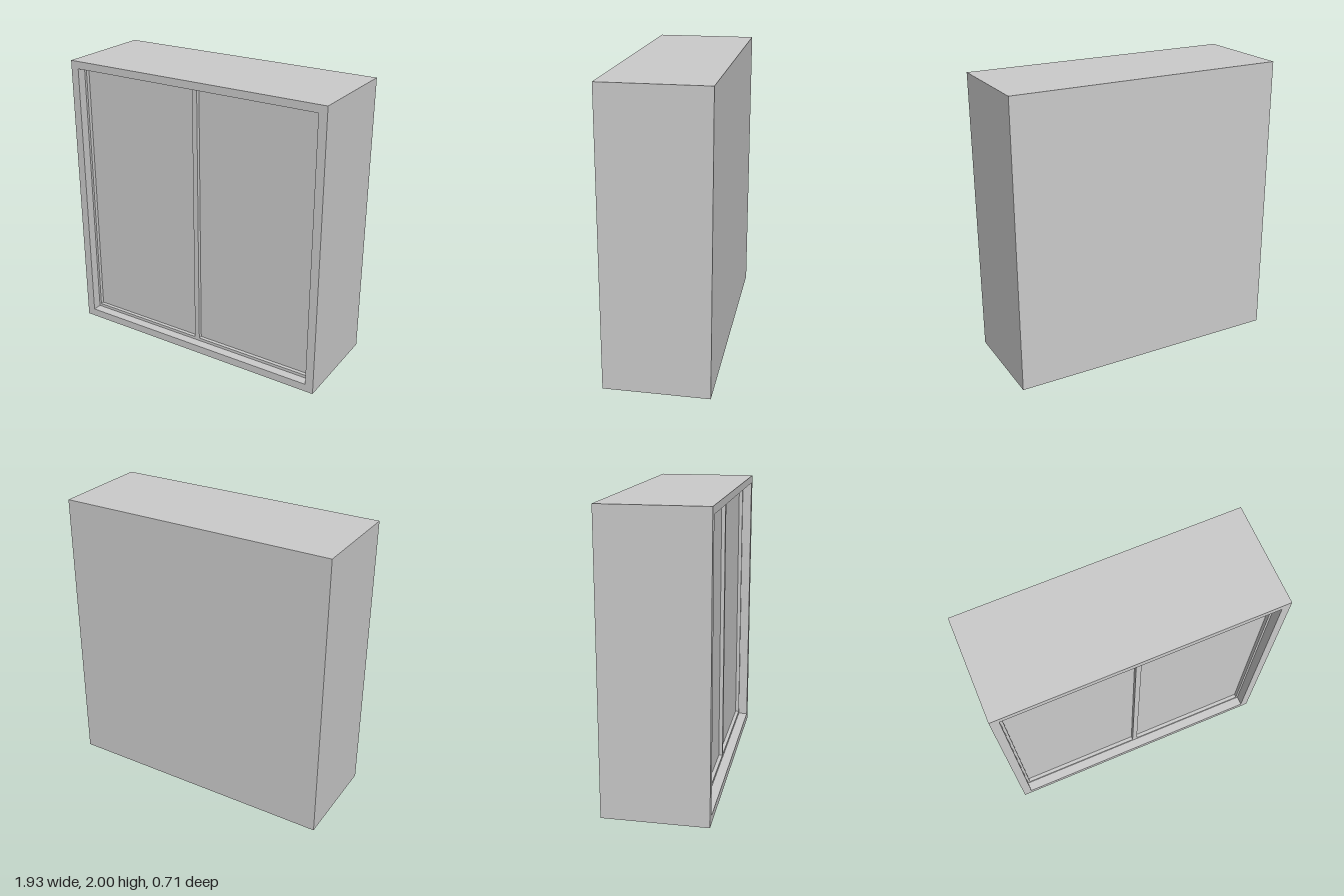
import * as THREE from 'three';

const material = new THREE.MeshStandardMaterial({ color: 0xcccccc });

// Rectangle outline given by its edges
function rect(Type, x0, x1, y0, y1) {
  const p = new Type();
  p.moveTo(x0, y0);
  p.lineTo(x1, y0);
  p.lineTo(x1, y1);
  p.lineTo(x0, y1);
  p.closePath();
  return p;
}

// Extruded rectangle with rectangular openings, spanning z0 to z1
function board(name, outer, holes, z0, z1) {
  const shape = rect(THREE.Shape, ...outer);
  for (const h of holes) shape.holes.push(rect(THREE.Path, ...h));
  const geometry = new THREE.ExtrudeGeometry(shape, { depth: z1 - z0, bevelEnabled: false });
  geometry.translate(0, 0, z0);
  const mesh = new THREE.Mesh(geometry, material);
  mesh.name = name;
  return mesh;
}

export function createModel() {
  const wardrobe = new THREE.Group();
  wardrobe.name = 'wardrobe';

  const W = 0.966, D = 0.354, backThickness = 0.03;
  const opening = [-0.908, 0.908, 0.056, 1.948];
  const doorFront = D - 0.065, panelFront = D - 0.091;

  // Carcass: top, base and sides in one hollow frame, closed by a back board
  wardrobe.add(board('carcass', [-W, W, 0, 2], [opening], -D + backThickness, D));
  wardrobe.add(board('backBoard', [-W, W, 0, 2], [], -D, -D + backThickness));

  // Sliding doors: a thin frame around each recessed panel
  for (const side of [-1, 1]) {
    const door = new THREE.Group();
    door.name = side < 0 ? 'rightDoor' : 'leftDoor';
    const span = (inner, outer) => (side < 0 ? [-outer, -inner] : [inner, outer]);
    const panel = [...span(0.018, 0.892), 0.077, 1.928];
    const frame = [...span(0, 0.908), opening[2], opening[3]];
    door.add(board('doorFrame', frame, [panel], panelFront - 0.02, doorFront));
    door.add(board('doorPanel', panel, [], panelFront - 0.02, panelFront));
    wardrobe.add(door);
  }
  return wardrobe;
}
